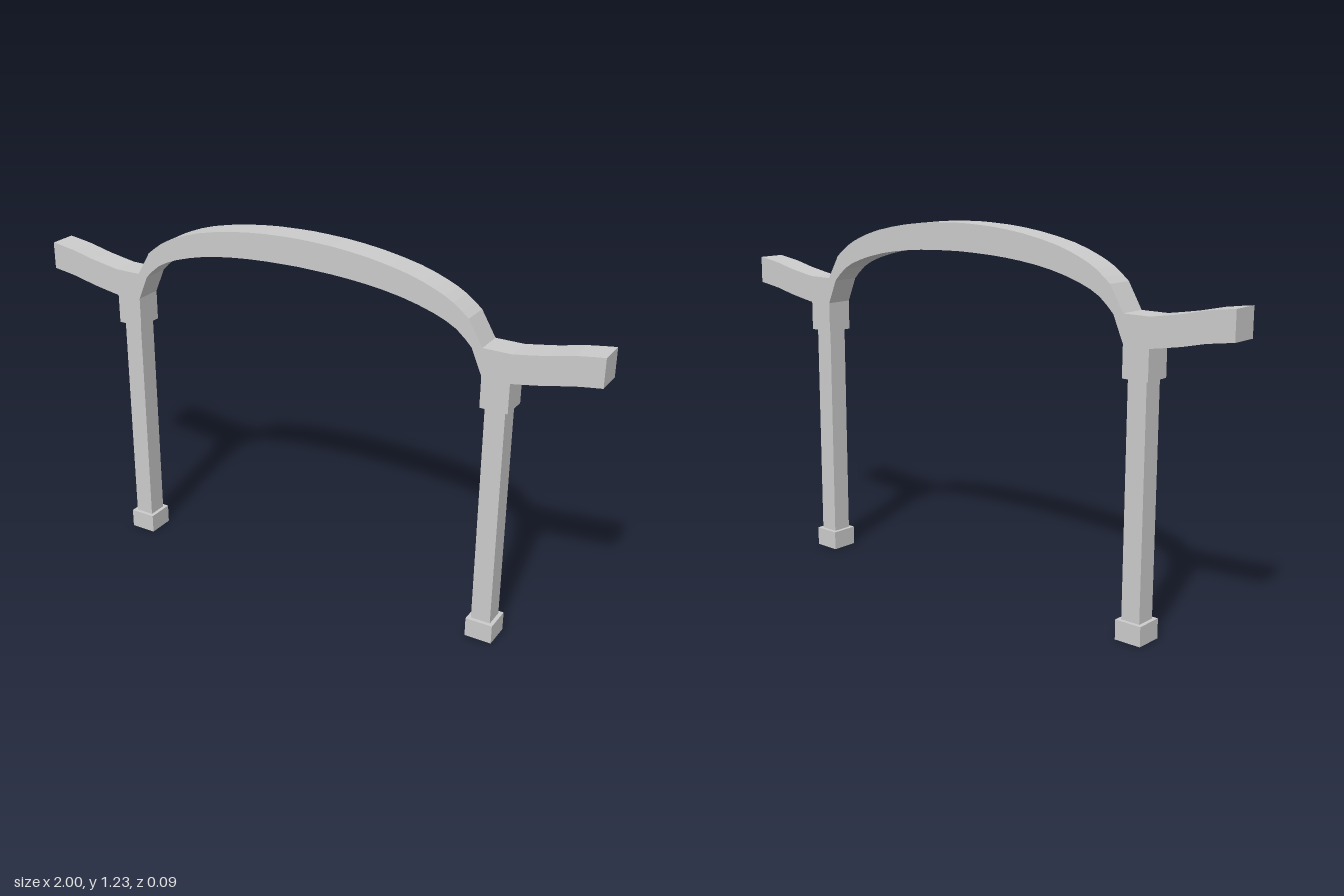
import * as THREE from 'three';

const DEPTH = 0.094;
const POST_X = 0.677;

export function createModel() {
  const group = new THREE.Group();
  const material = new THREE.MeshStandardMaterial({ color: 0xcccccc, flatShading: true });

  const add = (name, geometry, x, y) => {
    const mesh = new THREE.Mesh(geometry, material);
    mesh.name = name;
    mesh.position.set(x, y, 0);
    group.add(mesh);
  };
  const smooth = (points, n) =>
    new THREE.SplineCurve(points.map(([x, y]) => new THREE.Vector2(x, y))).getPoints(n);

  // Half outline of the beam (+x side): arch top, wing, capital, arch underside
  const archTop = smooth([[0, 1.23], [0.12, 1.226], [0.25, 1.212], [0.38, 1.186], [0.47, 1.155], [0.53, 1.125], [0.582, 1.085]], 12);
  const wingTop = smooth([[0.723, 1.004], [0.83, 1.022], [0.91, 1.04], [1, 1.053]], 6);
  const wingUnder = smooth([[1, 0.96], [0.91, 0.947], [0.83, 0.929], [0.723, 0.911]], 6);
  const archUnder = smooth([[0.596, 0.998], [0.545, 1.045], [0.47, 1.08], [0.36, 1.11], [0.24, 1.128], [0.12, 1.137], [0, 1.14]], 12);
  const half = [
    ...archTop, new THREE.Vector2(0.63, 1.004), ...wingTop, ...wingUnder,
    new THREE.Vector2(0.723, 0.813), new THREE.Vector2(0.632, 0.813),
    new THREE.Vector2(0.632, 0.915), ...archUnder,
  ];

  // Mirror the half to close the whole outline
  const mirrored = half.slice(1, -1).reverse().map((p) => new THREE.Vector2(-p.x, p.y));
  const beam = new THREE.ExtrudeGeometry(new THREE.Shape([...half, ...mirrored]), {
    depth: DEPTH, bevelEnabled: false,
  });
  beam.translate(0, 0, -DEPTH / 2);
  add('archedBeam', beam, 0, 0);

  // Posts and feet
  for (const [side, s] of [['left', 1], ['right', -1]]) {
    add(side + 'Post', new THREE.BoxGeometry(0.066, 0.75, 0.068), s * POST_X, 0.439);
    add(side + 'Foot', new THREE.BoxGeometry(0.092, 0.065, DEPTH), s * POST_X, 0.0325);
  }
  return group;
}
